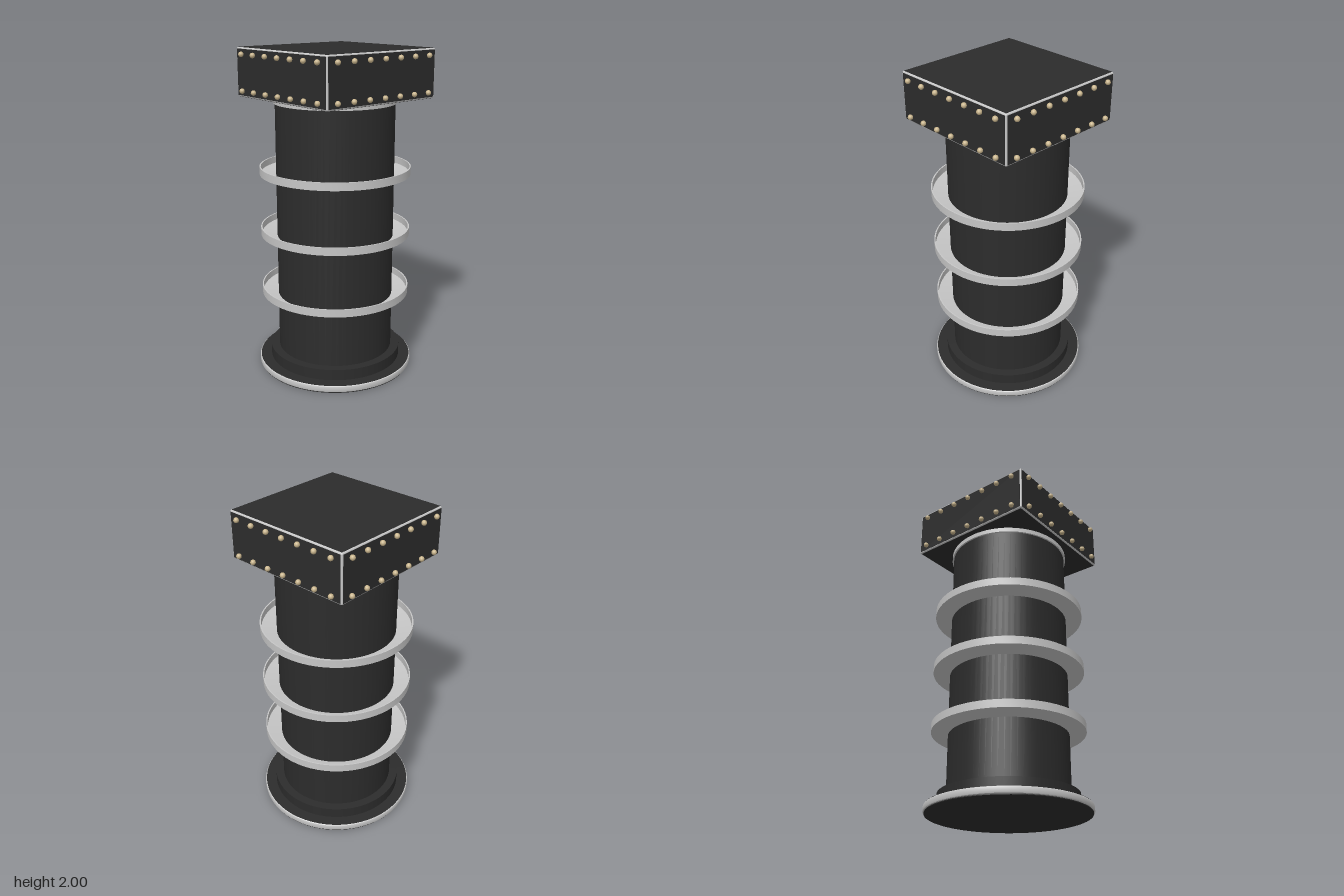
import * as THREE from 'three';
import { RoundedBoxGeometry } from 'three/addons/geometries/RoundedBoxGeometry.js';
import { toCreasedNormals } from 'three/addons/utils/BufferGeometryUtils.js';

const black = new THREE.MeshStandardMaterial({ color: 0x2c2c2c });
black.name = 'black';
const silver = new THREE.MeshStandardMaterial({ color: 0xc6c6c6 });
silver.name = 'silver';
const brass = new THREE.MeshStandardMaterial({ color: 0xc8b48c });
brass.name = 'brass';

const SEGMENTS = 64;

export function createModel() {
  const model = new THREE.Group();
  model.name = 'pillar';

  const add = (name, geometry, material, x = 0, y = 0, z = 0, parent = model) => {
    const mesh = new THREE.Mesh(geometry, material);
    mesh.name = name;
    mesh.position.set(x, y, z);
    parent.add(mesh);
    return mesh;
  };
  const disc = (name, radius, y0, y1, material) =>
    add(name, new THREE.CylinderGeometry(radius, radius, y1 - y0, SEGMENTS), material, 0, (y0 + y1) / 2);
  const lathe = (points) =>
    toCreasedNormals(new THREE.LatheGeometry(points.map(([r, y]) => new THREE.Vector2(r, y)), SEGMENTS), 0.6);

  // Foot: black plate wrapped by a silver rim, with a raised collar
  disc('footPlate', 0.483, 0, 0.047, black);
  add('footRim', lathe([[0.482, 0.004], [0.488, 0.008], [0.49, 0.014], [0.49, 0.036], [0.488, 0.042], [0.482, 0.046]]), silver);
  disc('footCollar', 0.415, 0.045, 0.115, black);

  // Shaft and the silver neck ring under the cap
  disc('shaft', 0.362, 0.1, 1.7, black);
  disc('neckRing', 0.372, 1.68, 1.715, silver);

  // Three shallow dish-shaped flanges
  const flange = lathe([[0.35, 0], [0.463, 0.02], [0.463, 0.068], [0.455, 0.068], [0.455, 0.026], [0.35, 0.008]]);
  [0.463, 0.845, 1.227].forEach((y) => add('flange', flange, silver, 0, y));

  // Square cap: silver rounded edges showing around black panels
  const cap = new THREE.Group();
  cap.name = 'cap';
  cap.position.y = 1.854;
  model.add(cap);
  const width = 0.832, height = 0.292, border = 0.009;
  add('capEdges', new RoundedBoxGeometry(width, height, width, 3, 0.01), silver, 0, 0, 0, cap);
  const inner = width - 2 * border;
  add('capTopAndBottomPanels', new THREE.BoxGeometry(inner, height + 0.002, inner), black, 0, 0, 0, cap);

  // Each side carries a panel and two rows of seven rivets
  const panel = new THREE.BoxGeometry(inner, height - 2 * border, 0.004);
  const rivet = new THREE.SphereGeometry(0.016, 12, 8);
  for (let i = 0; i < 4; i++) {
    const side = new THREE.Group();
    side.name = 'capSide';
    side.rotation.y = i * Math.PI / 2;
    cap.add(side);
    add('sidePanel', panel, black, 0, 0, width / 2 - 0.001, side);
    for (const y of [-0.109, 0.106])
      for (let k = -3; k <= 3; k++) add('rivet', rivet, brass, k * 0.117, y, 0.428, side);
  }
  return model;
}
